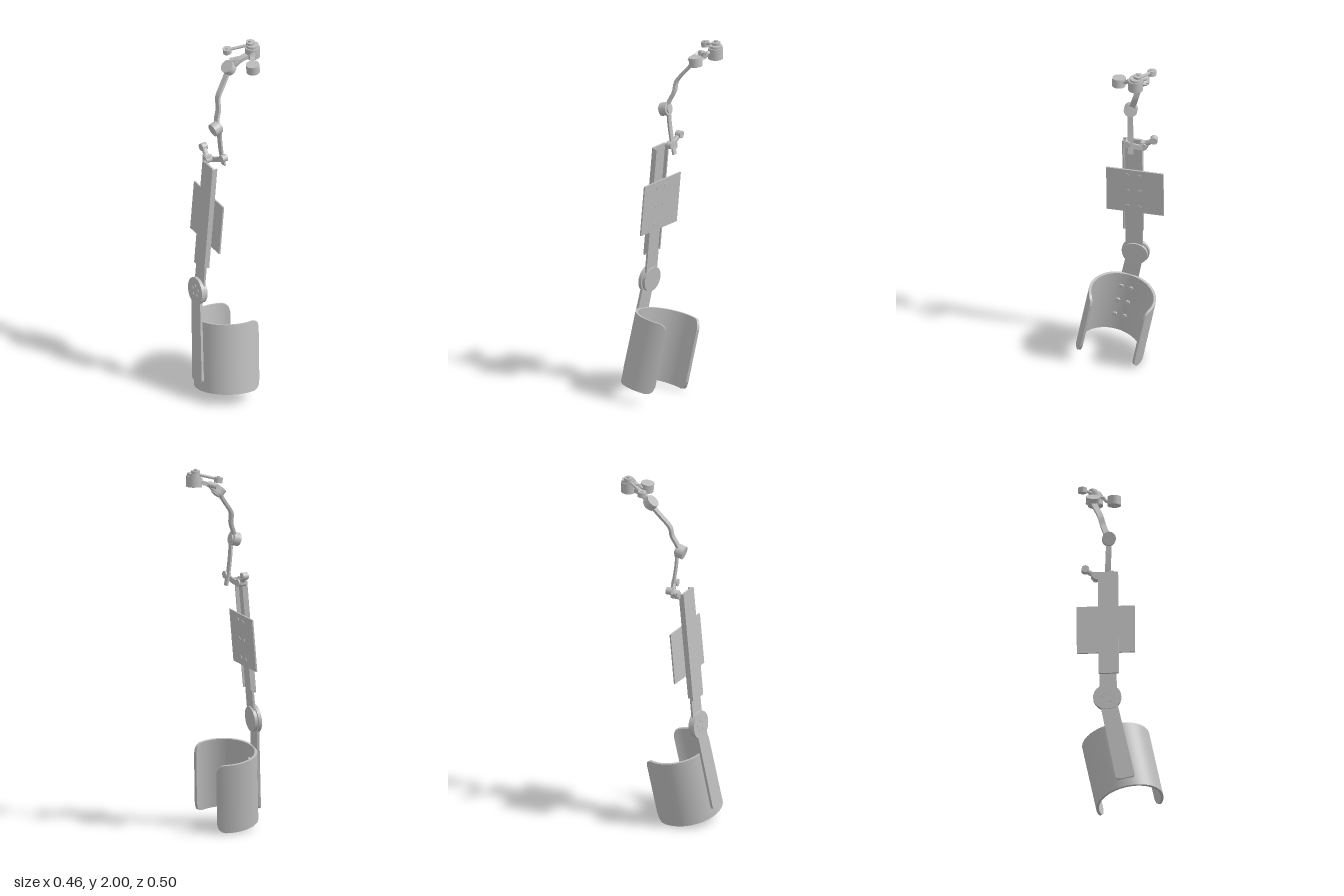
import * as THREE from 'three';

const gray = new THREE.MeshStandardMaterial({ color: 0xbdbdbd });
gray.name = 'light gray';
const V = (a) => new THREE.Vector3(...a);

function add(parent, name, geo, pos = [0, 0, 0]) {
  const mesh = new THREE.Mesh(geo, gray);
  mesh.name = name;
  mesh.position.set(...pos);
  parent.add(mesh);
  return mesh;
}

// Cylinder running from point a to point b
function rod(parent, name, a, b, r, sides = 28) {
  const from = V(a), dir = V(b).sub(from), len = dir.length();
  const mesh = add(parent, name, new THREE.CylinderGeometry(r, r, len, sides));
  mesh.position.copy(from).addScaledVector(dir, 0.5);
  mesh.quaternion.setFromUnitVectors(new THREE.Vector3(0, 1, 0), dir.normalize());
  return mesh;
}

// Flat strip following a curve, its width lying along the side vector
function band(parent, name, points, width, thick, side = [1, 0, 0]) {
  const curve = new THREE.CatmullRomCurve3(points.map(V));
  const geo = new THREE.BoxGeometry(width, 1, thick, 1, 24, 1);
  const p = geo.attributes.position;
  for (let i = 0; i < p.count; i++) {
    const t = THREE.MathUtils.clamp(p.getY(i) + 0.5, 0, 1);
    const T = curve.getTangent(t), S = V(side);
    S.addScaledVector(T, -S.dot(T)).normalize();
    const N = S.clone().cross(T);
    const q = curve.getPoint(t).addScaledVector(S, p.getX(i)).addScaledVector(N, p.getZ(i));
    p.setXYZ(i, q.x, q.y, q.z);
  }
  geo.computeVertexNormals();
  return add(parent, name, geo);
}

// Upright plate with rounded corners; the lower and upper widths may differ
function slab(parent, name, x, y0, y1, w0, w1, r, z0, depth) {
  const a = w0 / 2, b = w1 / 2, s = new THREE.Shape();
  s.moveTo(-a + r, y0);
  s.lineTo(a - r, y0);
  s.quadraticCurveTo(a, y0, a, y0 + r);
  s.lineTo(b, y1 - r);
  s.quadraticCurveTo(b, y1, b - r, y1);
  s.lineTo(-b + r, y1);
  s.quadraticCurveTo(-b, y1, -b, y1 - r);
  s.lineTo(-a, y0 + r);
  s.quadraticCurveTo(-a, y0, -a + r, y0);
  const geo = new THREE.ExtrudeGeometry(s, { depth, bevelEnabled: false, curveSegments: 8 });
  return add(parent, name, geo, [x, 0, z0]);
}

// Open C-shaped cuff with rounded end corners, bent from a flat box
function cuffGeometry(radius, height, thick, angle, corner) {
  const L = radius * angle;
  const geo = new THREE.BoxGeometry(L, height, thick, 96, 2, 1);
  const p = geo.attributes.position;
  for (let i = 0; i < p.count; i++) {
    const x = p.getX(i), d = Math.min(corner, L / 2 - Math.abs(x));
    const half = height / 2 - corner + Math.sqrt(Math.max(0, corner ** 2 - (corner - d) ** 2));
    const y = p.getY(i) / (height / 2) * half;
    const r = radius + p.getZ(i), t = x / radius;
    p.setXYZ(i, Math.sin(t) * r, y, Math.cos(t) * r);
  }
  geo.computeVertexNormals();
  return geo;
}

export function createModel() {
  const model = new THREE.Group();
  model.name = 'armSupport';
  const elbow = [-0.077, 0.6, 0.175];

  // Upper section: channel bar, slider, mounting plate and elbow disc
  const upper = new THREE.Group();
  upper.name = 'upperSection';
  upper.position.set(...elbow);
  upper.rotation.set(-0.09, -0.12, 0);
  model.add(upper);
  slab(upper, 'upperBar', 0.008, 0.15, 0.77, 0.108, 0.108, 0.008, 0.004, 0.01);
  for (const s of [-1, 1])
    add(upper, 'barFlange', new THREE.BoxGeometry(0.008, 0.6, 0.022), [0.008 + s * 0.05, 0.465, -0.005]);
  slab(upper, 'slider', 0.004, 0, 0.3, 0.092, 0.092, 0.03, -0.008, 0.011);
  add(upper, 'mountingPlate', new THREE.BoxGeometry(0.31, 0.284, 0.008), [-0.0065, 0.435, -0.02]);
  for (const x of [-0.03, 0.035])
    for (const y of [0.33, 0.435, 0.54])
      rod(upper, 'plateScrew', [x, y, -0.027], [x, y, -0.02], 0.012, 16);
  rod(upper, 'elbowRearDisc', [0, 0, -0.016], [0, 0, 0.002], 0.068, 48);
  rod(upper, 'elbowFrontDisc', [0, 0, 0.004], [0, 0, 0.022], 0.075, 48);
  for (let i = 0; i < 5; i++) {
    const t = i / 5 * Math.PI * 2 + 0.4, x = Math.cos(t) * 0.028, y = Math.sin(t) * 0.028;
    rod(upper, 'elbowScrew', [x, y, 0.02], [x, y, 0.025], 0.01, 14);
  }

  // Lower section: forearm bar and cuff
  const lower = new THREE.Group();
  lower.name = 'lowerSection';
  lower.position.set(...elbow);
  lower.rotation.set(-0.1, -0.12, 0.185);
  model.add(lower);
  slab(lower, 'lowerBar', 0, -0.51, 0.03, 0.102, 0.088, 0.022, 0.004, 0.014);
  add(lower, 'cuff', cuffGeometry(0.175, 0.392, 0.014, 4.36, 0.05), [0.005, -0.36, -0.172]);
  for (const x of [-0.022, 0.032])
    for (const y of [-0.25, -0.35, -0.45])
      rod(lower, 'cuffScrew', [x, y, -0.016], [x, y, 0.003], 0.013, 16);

  // Lever and bracket at the top of the bar
  rod(model, 'leverRod', [-0.185, 1.4, 0.062], [-0.125, 1.355, 0.078], 0.014, 16);
  rod(model, 'leverKnob', [-0.187, 1.403, 0.045], [-0.187, 1.403, 0.078], 0.02);
  rod(model, 'leverPivot', [-0.13, 1.357, 0.05], [-0.13, 1.357, 0.095], 0.02);
  band(model, 'bracketLink', [[-0.14, 1.35, 0.06], [-0.09, 1.365, 0.045], [-0.035, 1.395, 0.03]],
    0.028, 0.012, [0, 1, 0]);
  add(model, 'bracketBlock', new THREE.BoxGeometry(0.04, 0.03, 0.03), [-0.135, 1.365, 0.075]);
  rod(model, 'bracketPivot', [-0.045, 1.39, 0.018], [-0.045, 1.39, 0.05], 0.02);

  // Lower link and wrist joint
  band(model, 'lowerLink', [[-0.066, 1.335, 0.018], [-0.065, 1.4, 0.032], [-0.062, 1.5, 0.046], [-0.06, 1.59, 0.052]],
    0.03, 0.01);
  rod(model, 'linkJoint', [-0.062, 1.577, 0.094], [-0.062, 1.588, 0.052], 0.036, 36);
  rod(model, 'linkJointCap', [-0.062, 1.586, 0.056], [-0.062, 1.589, 0.044], 0.024);

  // Curved link rising to the second joint
  band(model, 'curvedLink', [[-0.064, 1.59, 0.066], [-0.077, 1.63, 0.055], [-0.09, 1.68, 0.034],
    [-0.104, 1.735, 0.028], [-0.12, 1.795, -0.016], [-0.134, 1.85, -0.06]], 0.03, 0.014);
  rod(model, 'upperJoint', [-0.137, 1.858, -0.082], [-0.137, 1.887, -0.055], 0.037, 36);
  rod(model, 'upperJointCap', [-0.137, 1.852, -0.088], [-0.137, 1.862, -0.079], 0.026);
  rod(model, 'upperJointPeg', [-0.152, 1.9, -0.088], [-0.125, 1.912, -0.125], 0.016, 20);
  band(model, 'fingerLink', [[-0.13, 1.87, -0.08], [-0.122, 1.9, -0.11], [-0.116, 1.915, -0.14], [-0.112, 1.925, -0.19]],
    0.03, 0.022);

  // Stacked top joint
  const top = [[1.905, 1.965, 0.04, -0.113, -0.207], [1.962, 1.978, 0.034, -0.115, -0.208],
    [1.976, 1.992, 0.024, -0.126, -0.203], [1.99, 2.0, 0.01, -0.128, -0.201]];
  for (const [y0, y1, r, x, z] of top)
    rod(model, 'topJoint', [x, y0, z], [x, y1, z], r, 36);

  // Side rod with small disc, and side arm with round pad
  rod(model, 'sideRod', [-0.13, 1.972, -0.195], [-0.188, 1.947, -0.1], 0.008, 14);
  rod(model, 'sideDisc', [-0.19, 1.928, -0.1], [-0.19, 1.956, -0.096], 0.023);
  rod(model, 'sideDiscPin', [-0.19, 1.95, -0.097], [-0.19, 1.961, -0.096], 0.01, 16);
  band(model, 'padArm', [[-0.1, 1.945, -0.195], [-0.075, 1.94, -0.18], [-0.055, 1.915, -0.165], [-0.025, 1.905, -0.145]],
    0.026, 0.014, [0, 0.6, -0.8]);
  rod(model, 'pad', [-0.018, 1.88, -0.143], [-0.018, 1.928, -0.138], 0.036, 36);
  return model;
}
